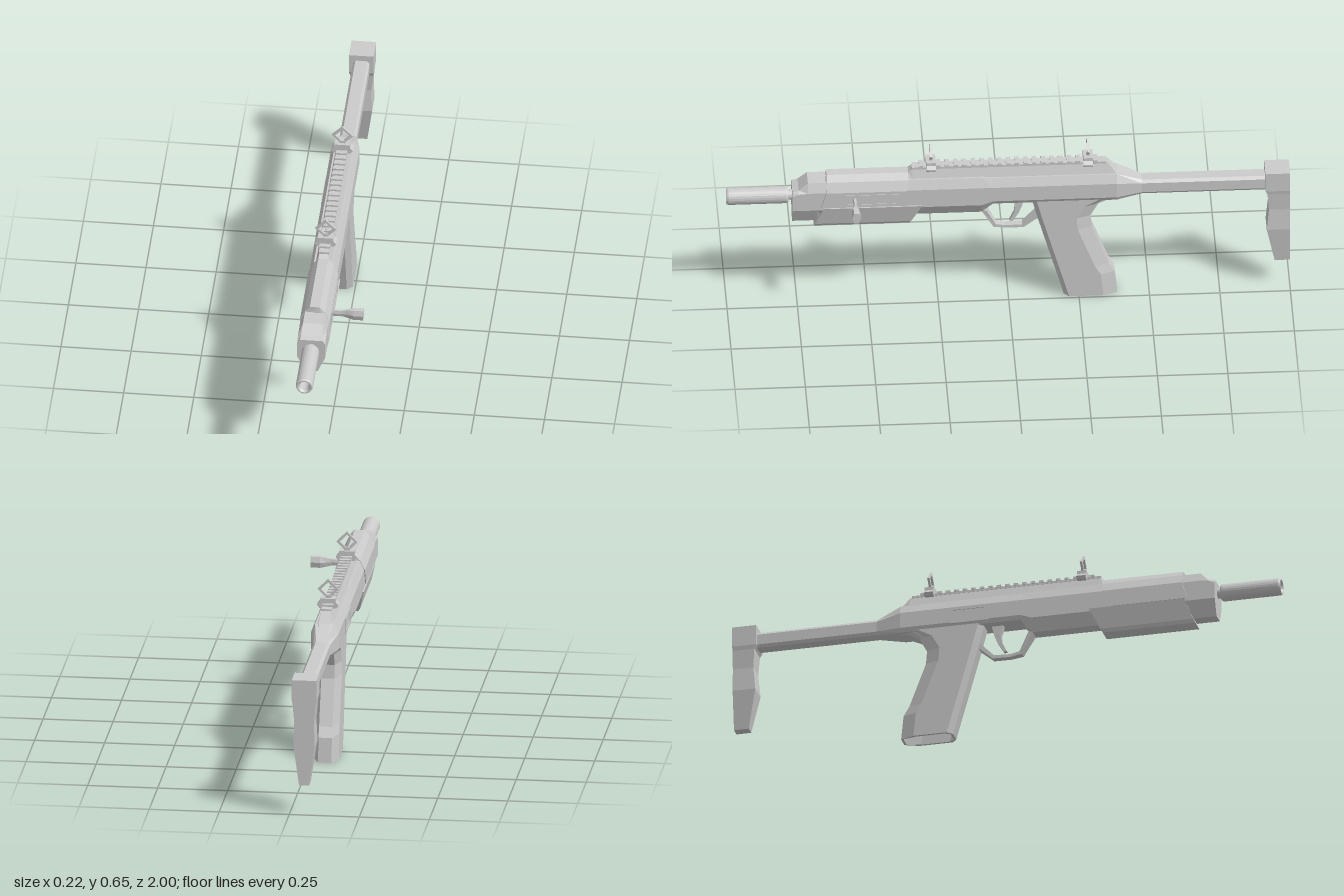
import * as THREE from 'three';

const material = new THREE.MeshStandardMaterial({ color: 0xcccccc, flatShading: true });
const smooth = new THREE.MeshStandardMaterial({ color: 0xcccccc, side: THREE.DoubleSide });

// Capped solid through rings of [x, y, z] points, always wound outward
function loft(rings) {
  const n = rings[0].length, pos = rings.flat(2), idx = [];
  for (let r = 0; r < rings.length - 1; r++) {
    for (let i = 0; i < n; i++) {
      const a = r * n + i, b = r * n + (i + 1) % n;
      idx.push(a, b, b + n, a, b + n, a + n);
    }
  }
  const last = (rings.length - 1) * n;
  for (let i = 1; i < n - 1; i++) idx.push(0, i + 1, i, last, last + i, last + i + 1);
  const v = idx.map((i) => new THREE.Vector3(...pos.slice(i * 3, i * 3 + 3)));
  let volume = 0;
  for (let i = 0; i < v.length; i += 3) volume += v[i].dot(v[i + 1].clone().cross(v[i + 2]));
  if (volume < 0) idx.reverse();
  const g = new THREE.BufferGeometry();
  g.setAttribute('position', new THREE.Float32BufferAttribute(pos, 3));
  g.setIndex(idx);
  const flat = g.toNonIndexed();
  flat.computeVertexNormals();
  return flat;
}

// Mirrored cross-section at z from [halfWidth, y, zOffset] points, top to bottom
function section(z, half) {
  const right = half.map(([w, y, dz = 0]) => [w, y, z + dz]);
  return right.concat(right.map(([w, y, d]) => [-w, y, d]).reverse());
}

// Strip across x between front and back edges: [zOuter, yOuter, zInner, yInner, halfWidth]
function strip(points) {
  return loft(points.map(([zo, yo, zi, yi, w]) => [[w, yo, zo], [w, yi, zi], [-w, yi, zi], [-w, yo, zo]]));
}

function polygon(points) {
  return new THREE.Shape(points.map(([x, y]) => new THREE.Vector2(x, y)));
}

export function createModel() {
  const root = new THREE.Group();
  const gun = new THREE.Group();
  gun.name = 'body';
  gun.position.x = -0.053;
  root.add(gun);

  const add = (name, geometry, x = 0, y = 0, z = 0, parent = gun, mat = material) => {
    const m = new THREE.Mesh(geometry, mat);
    m.name = name;
    m.position.set(x, y, z);
    parent.add(m);
    return m;
  };
  const box = (name, w, h, d, x, y, z, parent) => add(name, new THREE.BoxGeometry(w, h, d), x, y, z, parent);

  // Receiver with muzzle block, running into the rear neck
  const rear = [[0.035, 0.515], [0.05, 0.483], [0.05, 0.425], [0.042, 0.41]];
  const fore = [[0.035, 0.518], [0.05, 0.483], [0.05, 0.41], [0.024, 0.364]];
  const nose = [[0.035, 0.518], [0.05, 0.483], [0.05, 0.41], [0.023, 0.35]];
  add('receiver', loft([
    section(0.767, [[0.04, 0.483], [0.05, 0.47], [0.05, 0.41], [0.023, 0.35]]),
    section(0.745, [[0.038, 0.49], [0.05, 0.48], [0.05, 0.41], [0.023, 0.35]]),
    section(0.712, nose), section(0.68, nose), section(0.66, fore), section(0.095, fore),
    section(0.055, rear), section(-0.385, rear),
    section(-0.475, [[0.02, 0.478], [0.03, 0.468], [0.03, 0.43], [0.022, 0.42]]),
  ]));

  // Raised spine under the rail
  add('spine', loft([
    section(0.355, [[0.018, 0.54], [0.029, 0.515]]),
    section(0.34, [[0.016, 0.553], [0.029, 0.515]]),
    section(-0.355, [[0.016, 0.553], [0.029, 0.515]]),
    section(-0.385, [[0.022, 0.516], [0.029, 0.513]]),
    section(-0.46, [[0.012, 0.484], [0.014, 0.47]]),
  ]));

  // Upper shroud over the fore end
  const shroud = (dzTop, dzLow) => [[0.018, 0.54, dzTop], [0.036, 0.518, dzTop], [0.053, 0.483, dzTop / 2], [0.053, 0.42, dzLow]];
  add('shroud', loft([section(0.65, shroud(-0.005, 0.015)), section(0.36, shroud(-0.005, 0.035))]));

  // Lower hand guard with slanted ends
  const guard = (dz) => [[0.055, 0.418, 0], [0.037, 0.343, dz * 0.85], [0.029, 0.331, dz]];
  add('handGuard', loft([section(0.655, guard(0.036)), section(0.307, guard(0.045))]));

  // Barrel and hollow muzzle tube
  const barrel = new THREE.CylinderGeometry(0.019, 0.019, 0.06, 24, 1, true).rotateX(Math.PI / 2);
  add('barrel', barrel, 0, 0.449, 0.765, gun, smooth);
  const sleeve = [[0.001, 0.9], [0.018, 0.9], [0.018, 0.992], [0.023, 1], [0.028, 1], [0.031, 0.993], [0.031, 0.787], [0.027, 0.78], [0.001, 0.78]];
  const tube = new THREE.LatheGeometry(sleeve.map(([r, l]) => new THREE.Vector2(r, l)), 24).toNonIndexed();
  tube.computeVertexNormals();
  add('muzzleTube', tube.rotateX(Math.PI / 2), 0, 0.449, 0, gun, smooth);

  // Slot frame and cocking handle on the left
  const frame = polygon([[-0.58, 0.425], [-0.39, 0.425], [-0.39, 0.472], [-0.58, 0.472]]);
  frame.holes.push(polygon([[-0.57, 0.433], [-0.57, 0.464], [-0.4, 0.464], [-0.4, 0.433]]));
  const frameGeo = new THREE.ExtrudeGeometry(frame, { depth: 0.004, bevelEnabled: false }).rotateY(Math.PI / 2);
  add('handleSlot', frameGeo, 0.051, 0, 0);
  const handle = [[0.045, 0.011, 0.007], [0.09, 0.012, 0.006], [0.102, 0.015, 0.008], [0.128, 0.02, 0.015], [0.163, 0.02, 0.015]];
  add('cockingHandle', loft(handle.map(([x, h, d]) => [
    [x, 0.448 + h, 0.546 - d * 0.6], [x, 0.448 + h, 0.546 + d * 0.6], [x, 0.448, 0.546 + d],
    [x, 0.448 - h, 0.546 + d * 0.6], [x, 0.448 - h, 0.546 - d * 0.6], [x, 0.448, 0.546 - d]])));

  // Ejection port on the right
  const port = polygon([[-0.2, 0.42], [-0.06, 0.42], [-0.06, 0.48], [-0.2, 0.48]]);
  port.holes.push(polygon([[-0.19, 0.43], [-0.19, 0.47], [-0.07, 0.47], [-0.07, 0.43]]));
  add('ejectionPort', new THREE.ExtrudeGeometry(port, { depth: 0.004, bevelEnabled: false }).rotateY(-Math.PI / 2), -0.049, 0, 0);

  // Grip: chamfered and hollow at the foot
  const gripRing = (y, zf, zb, inset = 0, chamfer = 0.05) => {
    const w = 0.044 - inset, f = zf - inset, b = zb + inset;
    return [[0.024, y, f], [w, y, f - 0.018], [w, y, b + chamfer], [0.024, y, b],
      [-0.024, y, b], [-w, y, b + chamfer], [-w, y, f - 0.018], [-0.024, y, f]];
  };
  add('grip', loft([
    gripRing(0.1, -0.168, -0.37, 0.009), gripRing(0, -0.197, -0.387, 0.009),
    gripRing(0, -0.197, -0.387), gripRing(0.09, -0.172, -0.378), gripRing(0.125, -0.162, -0.357),
    gripRing(0.285, -0.117, -0.296), gripRing(0.335, -0.103, -0.292),
    gripRing(0.385, -0.09, -0.32), gripRing(0.415, -0.082, -0.375),
  ]));
  // Web blending the grip into the neck
  add('gripWeb', loft([
    section(-0.3, [[0.042, 0.425], [0.03, 0.38]]), section(-0.36, [[0.042, 0.425], [0.028, 0.405]]),
    section(-0.43, [[0.032, 0.435], [0.024, 0.418]]),
  ]));

  // Trigger and its guard
  add('triggerGuard', strip([
    [0.095, 0.368, 0.078, 0.368, 0.024], [0.052, 0.29, 0.044, 0.301, 0.014],
    [0.01, 0.283, 0.01, 0.294, 0.012], [-0.055, 0.284, -0.05, 0.296, 0.013],
    [-0.108, 0.33, -0.1, 0.345, 0.02],
  ]));
  add('trigger', strip([
    [-0.015, 0.415, -0.06, 0.415, 0.01], [-0.025, 0.375, -0.05, 0.375, 0.01],
    [-0.022, 0.345, -0.038, 0.343, 0.009], [-0.005, 0.31, -0.016, 0.308, 0.008],
  ]));

  // Toothed rail
  const rail = new THREE.Group();
  rail.name = 'rail';
  gun.add(rail);
  box('railBase', 0.036, 0.008, 0.69, 0, 0.555, -0.003, rail);
  for (let i = 0; i < 21; i++) box('railTooth', 0.04, 0.008, 0.016, 0, 0.562, 0.31 - i * 0.031, rail);

  // Front and rear sights: clamp, stem and diamond ring
  const clamp = polygon([[-0.028, 0.583], [-0.028, 0.571], [-0.039, 0.559], [-0.03, 0.548],
    [0.03, 0.548], [0.039, 0.559], [0.028, 0.571], [0.028, 0.583]]);
  const diamond = (r) => polygon([[0, r], [-r, 0], [0, -r], [r, 0]]);
  const ring = diamond(0.038);
  ring.holes.push(diamond(0.026));
  [[0.274, 'frontSight'], [-0.284, 'rearSight']].forEach(([z, name]) => {
    const sight = new THREE.Group();
    sight.name = name;
    sight.position.z = z;
    gun.add(sight);
    add('sightClamp', new THREE.ExtrudeGeometry(clamp, { depth: 0.034, bevelEnabled: false }), 0, 0, -0.017, sight);
    box('sightStem', 0.02, 0.014, 0.012, 0, 0.586, 0, sight);
    add('sightRing', new THREE.ExtrudeGeometry(ring, { depth: 0.008, bevelEnabled: false }), 0, 0.614, -0.004, sight);
    if (z > 0) box('sightPin', 0.003, 0.022, 0.003, 0, 0.603, 0, sight);
  });

  // Stock bar and butt
  const bar = [[0.021, 0.478], [0.03, 0.468], [0.03, 0.43], [0.022, 0.42]];
  add('stockBar', loft([section(-0.47, bar), section(-0.93, bar)]));
  const butt = [[0.5, 0.044, -0.912], [0.425, 0.044, -0.912], [0.41, 0.041, -0.92], [0.34, 0.035, -0.925],
    [0.255, 0.038, -0.917], [0.11, 0.018, -0.946]];
  add('butt', loft(butt.map(([y, w, zf]) => [[w, y, zf], [w, y, -1], [-w, y, -1], [-w, y, zf]])));

  return root;
}
